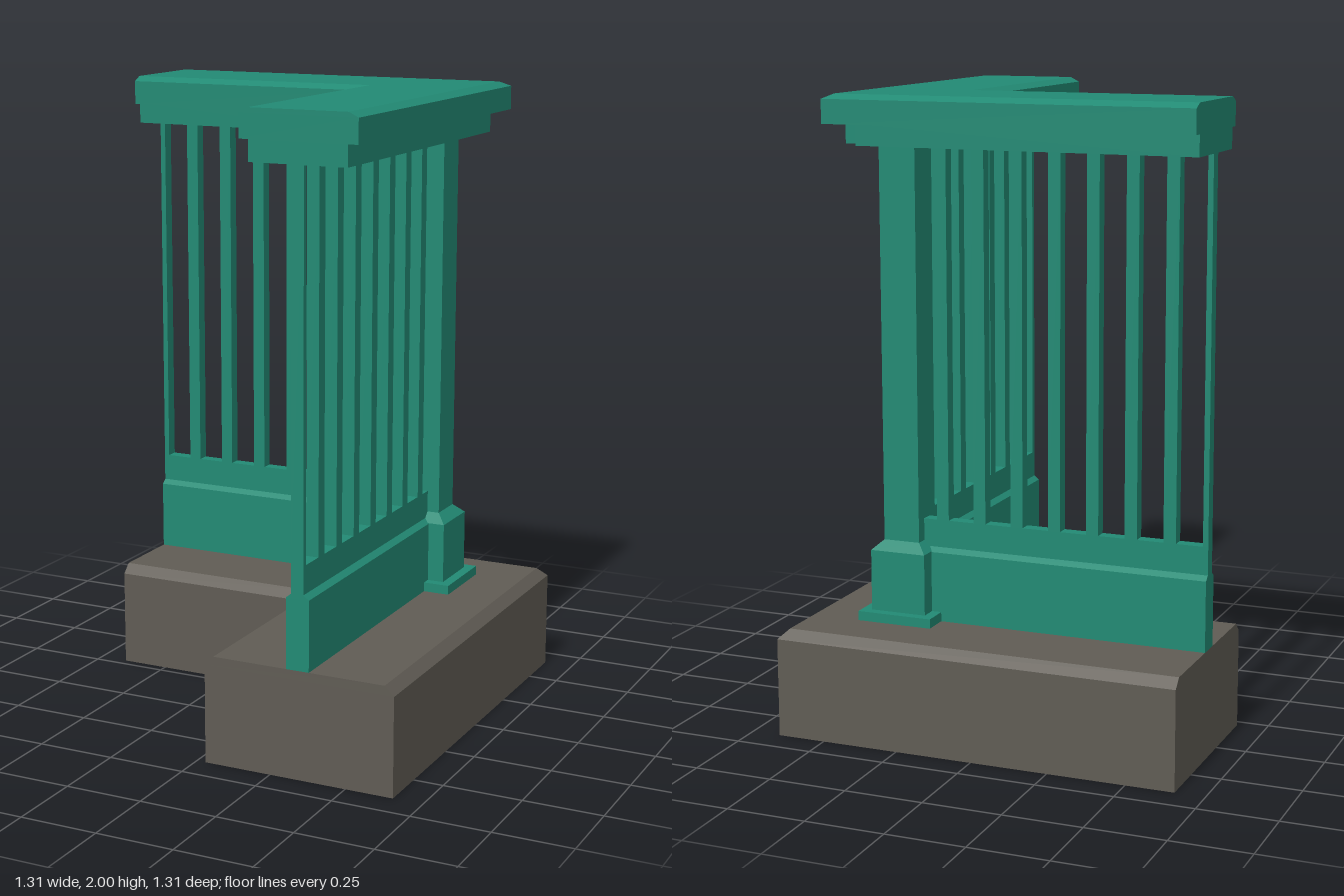
import * as THREE from 'three';

const END = 0.655;   // where both arms are cut off
const MID = 0.342;   // centre line of both arms

// L-shaped solid from levels [y, outer offset, inner offset], bottom to top
function lSolid(levels) {
  const rings = levels.map(([y, o, i]) => [
    [-END, y, -o], [o, y, -o], [o, y, END], [i, y, END], [i, y, -i], [-END, y, -i],
  ]);
  const pos = [];
  const quad = (a, b, c, d) => [a, b, c, a, c, d].forEach((p) => pos.push(...p));
  for (let k = 0; k < rings.length - 1; k++) {
    const lo = rings[k], up = rings[k + 1];
    for (let j = 0; j < 6; j++) {
      const n = (j + 1) % 6;
      quad(lo[n], lo[j], up[j], up[n]);
    }
  }
  const b = rings[0], t = rings[rings.length - 1];
  quad(b[0], b[1], b[4], b[5]);
  quad(b[1], b[2], b[3], b[4]);
  quad(t[5], t[4], t[1], t[0]);
  quad(t[4], t[3], t[2], t[1]);
  const geo = new THREE.BufferGeometry();
  geo.setAttribute('position', new THREE.Float32BufferAttribute(pos, 3));
  geo.computeVertexNormals();
  return geo;
}

// Square block, optionally tapered, between two heights
function squareBlock(y0, y1, halfBottom, halfTop = halfBottom) {
  const geo = new THREE.CylinderGeometry(halfTop * Math.SQRT2, halfBottom * Math.SQRT2, y1 - y0, 4)
    .toNonIndexed();
  geo.rotateY(Math.PI / 4);
  geo.translate(MID, (y0 + y1) / 2, -MID);
  geo.computeVertexNormals();
  return geo;
}

export function createModel() {
  const model = new THREE.Group();
  model.name = 'cornerRailing';

  const green = new THREE.MeshStandardMaterial({ color: 0x228a74 });
  green.name = 'paintedGreen';
  const stone = new THREE.MeshStandardMaterial({ color: 0x605c54 });
  stone.name = 'stone';

  const add = (name, geo, mat, parent = model) => {
    const mesh = new THREE.Mesh(geo, mat);
    mesh.name = name;
    parent.add(mesh);
    return mesh;
  };

  // Stone base with chamfered top edge
  add('base', lSolid([[0, 0.655, 0.03], [0.315, 0.655, 0.03], [0.345, 0.625, 0.06]]), stone);

  // Solid bottom rail: thick skirting, sloped ledge, thin upper strip
  add('bottomRail', lSolid([
    [0.345, 0.38, 0.305], [0.568, 0.38, 0.305], [0.582, 0.362, 0.322], [0.67, 0.362, 0.322],
  ]), green);

  // Top cap with softly bevelled edges
  add('topCap', lSolid([[1.91, 0.53, 0.155], [1.985, 0.53, 0.155], [2, 0.5, 0.185]]), green);

  // Moulding under the cap, notched at the outer corner
  const o = 0.498, i = 0.186, n = 0.432;
  const outline = new THREE.Shape([
    [-END, o], [-END, i], [i, i], [i, -END], [o, -END], [o, n], [n, n], [n, o],
  ].map(([x, y]) => new THREE.Vector2(x, y)));
  const moulding = new THREE.ExtrudeGeometry(outline, { depth: 0.065, bevelEnabled: false });
  moulding.rotateX(-Math.PI / 2);
  moulding.translate(0, 1.845, 0);
  add('capMoulding', moulding, green);

  // Corner post on a stepped plinth
  const post = new THREE.Group();
  post.name = 'cornerPost';
  model.add(post);
  add('postFoot', squareBlock(0.345, 0.375, 0.124), green, post);
  add('postPlinth', squareBlock(0.375, 0.57, 0.092), green, post);
  add('postPlinthSlope', squareBlock(0.57, 0.6, 0.092, 0.06), green, post);
  add('postShaft', squareBlock(0.6, 1.845, 0.06), green, post);

  // Balusters on both arms; the last one is cut by the end plane
  const balusters = new THREE.Group();
  balusters.name = 'balusters';
  model.add(balusters);
  for (let k = 0; k < 8; k++) {
    const centre = 0.217 - 0.125 * k;
    const lo = Math.max(centre - 0.02, -END), hi = centre + 0.02;
    const along = (lo + hi) / 2, len = hi - lo;
    add('backBaluster', new THREE.BoxGeometry(len, 1.175, 0.04), green, balusters)
      .position.set(along, 1.2575, -MID);
    add('sideBaluster', new THREE.BoxGeometry(0.04, 1.175, len), green, balusters)
      .position.set(MID, 1.2575, -along);
  }

  return model;
}
